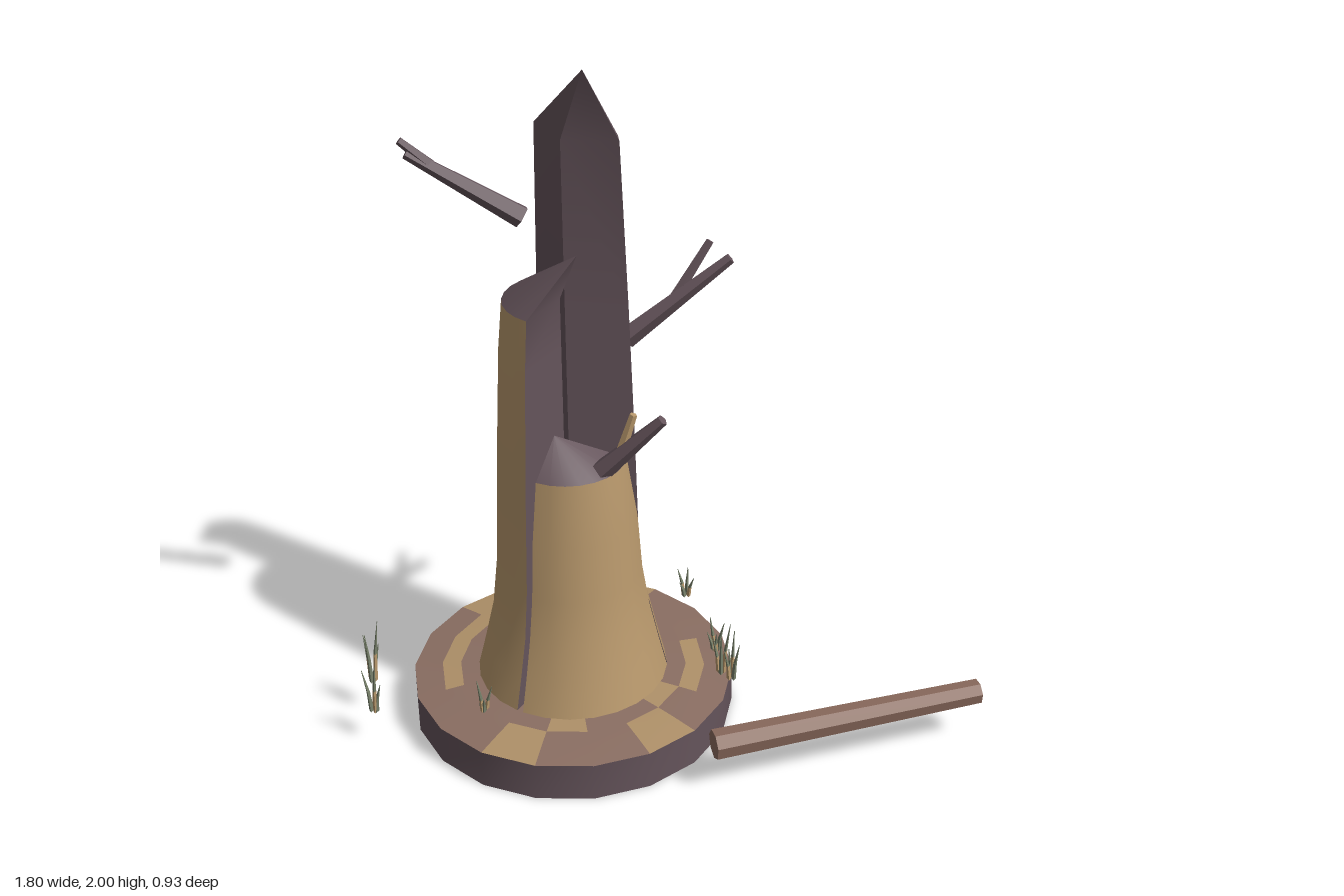
import * as THREE from 'three';
import { toCreasedNormals } from 'three/addons/utils/BufferGeometryUtils.js';

const mat = (name, color, side = THREE.FrontSide) => {
  const m = new THREE.MeshStandardMaterial({ color, side });
  m.name = name;
  return m;
};
const V = (x, y, z) => new THREE.Vector3(x, y, z);
const CX = -0.29; // centre of the trunk and base

const polar = (r, deg, y) => {
  const a = THREE.MathUtils.degToRad(deg);
  return V(CX + r * Math.cos(a), y, r * Math.sin(a));
};

function fromTriangles(points, crease) {
  const g = new THREE.BufferGeometry().setFromPoints(points);
  g.computeVertexNormals();
  return toCreasedNormals(g, crease);
}

export function createModel() {
  const root = new THREE.Group();
  const bark = mat('bark', 0xb8986c);
  const wood = mat('dark wood', 0x65545b);
  const soil = mat('soil', 0x8a6e62);
  const sand = mat('sand', 0xae9068);
  const logBark = mat('log brown', 0x8a6a5c);
  const grass = mat('grass', 0x77806a, THREE.DoubleSide);

  const add = (name, geometry, material, parent = root) => {
    const mesh = new THREE.Mesh(geometry, material);
    mesh.name = name;
    parent.add(mesh);
    return mesh;
  };

  // Tapered faceted stick between two points
  const stick = (name, a, b, ra, rb, sides, material, parent) => {
    const dir = b.clone().sub(a);
    const g = new THREE.CylinderGeometry(rb, ra, dir.length(), sides).toNonIndexed();
    g.computeVertexNormals();
    const mesh = add(name, g, material, parent);
    mesh.position.copy(a).add(b).multiplyScalar(0.5);
    mesh.quaternion.setFromUnitVectors(V(0, 1, 0), dir.normalize());
    return mesh;
  };

  // Round base: 18-sided slab
  const slab = new THREE.CylinderGeometry(0.473, 0.473, 0.115, 18);
  slab.rotateY(Math.PI / 2);
  slab.translate(CX, 0.0575, 0);
  add('baseSlab', toCreasedNormals(slab, 0.5), wood);

  // Ground on the slab: rings of cells, some of them sandy
  const rings = [0.473, 0.39, 0.335, 0.2];
  const heights = [0.115, 0.124, 0.128, 0.135];
  const sandy = [[2, 5, 11, 14], [0, 2, 5, 8, 9, 10, 11, 14, 17], [1, 4, 13]];
  const ground = { soil: [], sand: [] };
  for (let j = 0; j < 3; j++) {
    for (let k = 0; k < 18; k++) {
      const a = polar(rings[j], k * 20, heights[j]);
      const b = polar(rings[j + 1], k * 20, heights[j + 1]);
      const c = polar(rings[j], k * 20 + 20, heights[j]);
      const d = polar(rings[j + 1], k * 20 + 20, heights[j + 1]);
      ground[sandy[j].includes(k) ? 'sand' : 'soil'].push(a, b, c, c, b, d);
    }
  }
  add('soilGround', fromTriangles(ground.soil, 0.5), soil);
  add('sandPatches', fromTriangles(ground.sand, 0.5), sand);

  // One split third of the trunk: bark outside, bare walls and splintered tip
  const shard = (name, a0, a1, profile, apex) => {
    const n = 8, skin = [], bare = [];
    const mid = polar(0.008, (a0 + a1) / 2, 0);
    const P = (i, j) => polar(profile[j][0], a0 + (a1 - a0) * i / n, profile[j][1]);
    const axis = j => V(mid.x, profile[j][1], mid.z);
    const top = profile.length - 1;
    for (let j = 0; j < top; j++) {
      for (let i = 0; i < n; i++) {
        const a = P(i, j), b = P(i, j + 1), c = P(i + 1, j), d = P(i + 1, j + 1);
        skin.push(a, b, c, c, b, d);
      }
      const A = axis(j), B = axis(j + 1);
      bare.push(A, B, P(0, j), P(0, j), B, P(0, j + 1));
      bare.push(A, P(n, j), B, B, P(n, j), P(n, j + 1));
    }
    for (let i = 0; i < n; i++) bare.push(P(i, top), apex, P(i + 1, top));
    bare.push(P(n, top), apex, axis(top), axis(top), apex, P(0, top));
    const group = new THREE.Group();
    group.name = name;
    add(name + 'Bark', fromTriangles(skin, 0.6), bark, group);
    add(name + 'Wood', fromTriangles(bare, 0.6), wood, group);
    root.add(group);
  };
  const foot = [[0.282, 0.12], [0.255, 0.23], [0.228, 0.35]];
  shard('frontShard', 2, 118, [...foot, [0.208, 0.48], [0.196, 0.65], [0.167, 0.84]], V(-0.32, 0.94, 0.06));
  shard('rightShard', 122, 237, [...foot, [0.212, 0.5], [0.2, 0.8], [0.18, 1.18], [0.166, 1.33]], V(-0.245, 1.495, 0.085));
  shard('backShard', 242, 360, [...foot, [0.202, 0.44], [0.19, 0.9], [0.177, 1.3], [0.158, 1.78]], V(-0.22, 2, 0.08));

  // Broken branches, each with a small fork
  const branch = (name, a, b, c, d, forkMaterial) => {
    const group = new THREE.Group();
    group.name = name;
    stick(name + 'Limb', a, b, 0.032, 0.016, 5, wood, group);
    stick(name + 'Fork', c, d, 0.016, 0.011, 5, forkMaterial, group);
    root.add(group);
  };
  branch('rightBranch', V(-0.39, 1.57, 0.005), V(-0.685, 1.75, 0.012), V(-0.62, 1.715, 0.01), V(-0.7, 1.785, 0.015), wood);
  branch('leftBranch', V(-0.125, 1.19, -0.045), V(0.16, 1.42, -0.07), V(0, 1.29, -0.058), V(0.105, 1.455, -0.105), wood);
  branch('lowBranch', V(-0.19, 0.85, 0.095), V(-0.02, 1.03, 0.13), V(-0.14, 0.9, 0.105), V(-0.1, 1.03, 0.1), bark);

  // Fallen log
  stick('fallenLog', V(0.125, 0.15, 0.412), V(0.89, 0.163, 0.174), 0.044, 0.036, 7, logBark);

  // Grass tufts: x, z, ground height, tuft height
  const tufts = [
    [-0.88, 0.07, 0.11, 0.21], [-0.855, 0.215, 0.11, 0.17], [-0.535, 0.23, 0.12, 0.11],
    [0.045, -0.385, 0.11, 0.1], [0.135, -0.08, 0.115, 0.11], [0.18, 0.055, 0.115, 0.15], [0.15, 0.03, 0.115, 0.17],
  ];
  tufts.forEach(([x, z, y, h], t) => {
    const group = new THREE.Group();
    group.name = 'grassTuft';
    for (let i = 0; i < 4; i++) {
      const a = i * 1.9 + t;
      const tall = h * (1 - 0.14 * i);
      const at = (r, f) => V(x + r * Math.cos(a), y + tall * f, z + r * Math.sin(a));
      stick('bladeStem', at(0.008, 0), at(0.013, 0.45), 0.008, 0.006, 3, i % 2 ? grass : bark, group);
      stick('bladeTip', at(0.013, 0.45), at(0.027, 1), 0.006, 0.001, 3, grass, group);
    }
    root.add(group);
  });
  return root;
}
